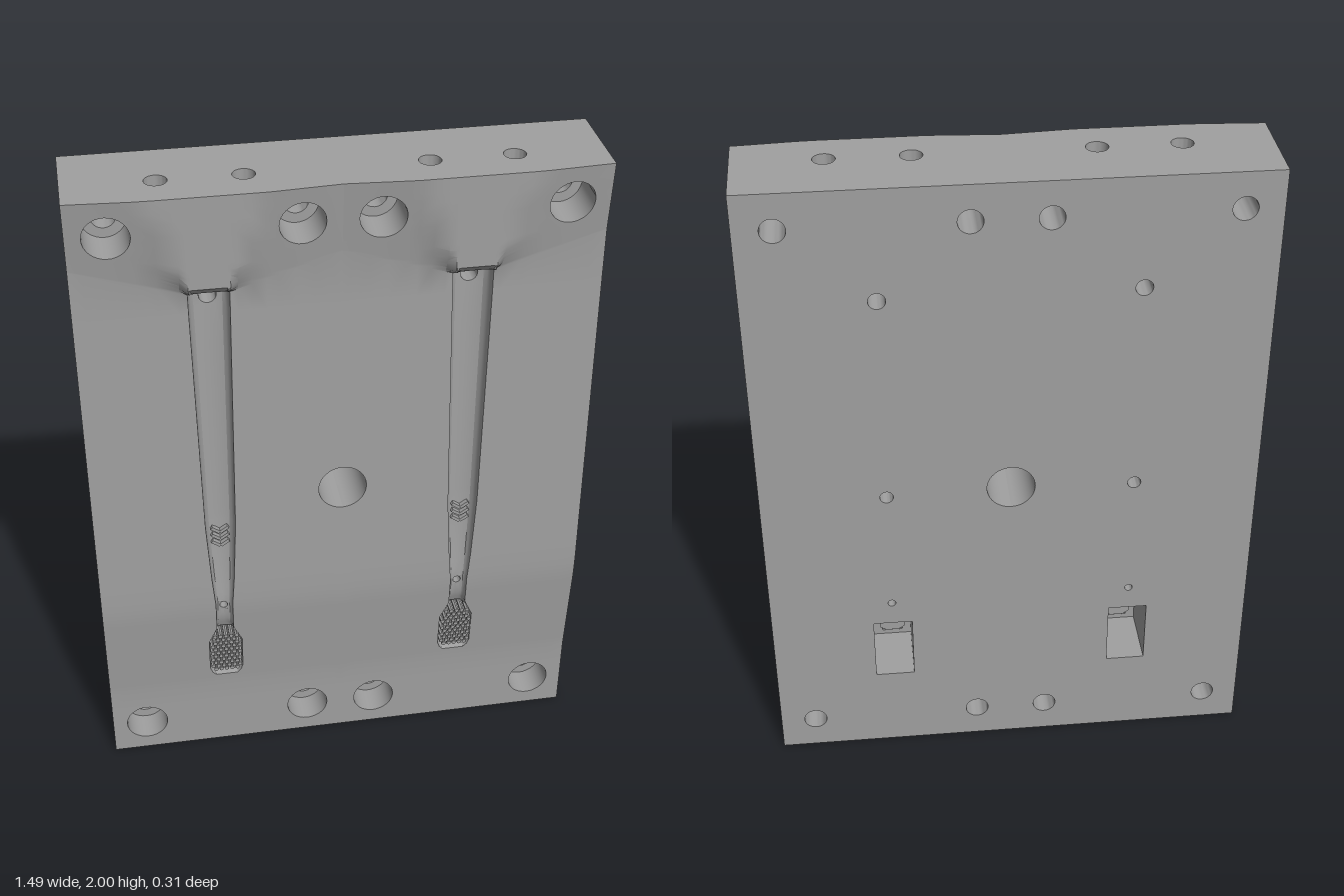
import * as THREE from 'three';
import { toCreasedNormals } from 'three/addons/utils/BufferGeometryUtils.js';

const BACK = -0.155, EDGE = 0.745, CX = 0.37;
const clamp = (t) => Math.min(1, Math.max(0, t));

// piecewise linear lookup
function interp(table, y) {
  if (y <= table[0][0]) return table[0][1];
  for (let k = 1; k < table.length; k++) {
    const [a, va] = table[k - 1], [b, vb] = table[k];
    if (y <= b) return va + (vb - va) * (y - a) / (b - a);
  }
  return table[table.length - 1][1];
}
const baseZ = [[0, 0.095], [0.25, 0.1], [0.58, 0.134], [0.65, 0.135], [1.7, 0.116]];
const cavityWidth = [[0.288, 0.034], [0.3, 0.045], [0.32, 0.052], [0.44, 0.052], [0.48, 0.034],
  [0.5, 0.026], [0.6, 0.026], [0.7, 0.034], [0.9, 0.045], [1.66, 0.058]];
const cavityDepth = [[0.288, 0], [0.292, 0.025], [0.3, 0.03], [0.44, 0.04], [0.48, 0.035], [0.52, 0.025],
  [0.6, 0.025], [0.7, 0.035], [0.9, 0.043], [1.66, 0.05], [1.69, 0.05], [1.7, 0]];

// lower border of the fan, rising away from the cavity
const fanStart = (x) => 0.1 * clamp((Math.abs(x - CX) - 0.055) / 0.32);

// parting surface without the cavity: bent plate with a fan rising towards the top edge
function partingZ(x, y) {
  const d = Math.abs(x - CX), z = interp(baseZ, y), start = 1.69 + fanStart(x);
  const dome = 0.015 * Math.sqrt(Math.max(0, 1 - (d / 0.055) ** 2));
  const height = Math.min(2 - start, 0.02 + dome + 2.3 * Math.max(0, d - 0.055));
  const top = 0.153 - 0.014 * clamp((d - 0.17) / 0.2);
  return z + (top - z) * clamp((y - start) / height);
}
function frontZ(x, y) {
  const u = (x - CX) / interp(cavityWidth, y);
  return partingZ(x, y) - interp(cavityDepth, y) * Math.sqrt(Math.max(0, 1 - u ** 4));
}

// grid lines; the middle columns follow the cavity and the upper rows follow the fan border
const rows = [0, 0.04, 0.11, 0.18, 0.25, 0.288, 0.292, 0.3, 0.32, 0.36, 0.4, 0.44, 0.46, 0.48, 0.5, 0.52,
  0.54, 0.56, 0.6, 0.62, 0.65, 0.7, 0.8, 0.9, 0.92, 1.08, 1.2, 1.35, 1.5, 1.63, 1.69, 1.7, 1.71, 1.725,
  1.74, 1.76, 1.78, 1.8, 1.82, 1.85, 1.89, 1.93, 1.96, 2];
const across = [-1, -0.95, -0.85, -0.7, -0.35, 0, 0.35, 0.7, 0.85, 0.95, 1];
const columns = (y) => [0, 0.04, 0.08, 0.13, 0.18, 0.21, 0.25, 0.29,
  ...across.map((f) => CX + f * interp(cavityWidth, y)),
  0.45, 0.51, 0.565, 0.6, 0.635, 0.67, 0.705, EDGE];
const rowShift = [[1.63, 0], [1.69, 1], [1.82, 0]];
const grid = rows.map((y) => columns(y).map((x) => new THREE.Vector2(x, y + fanStart(x) * interp(rowShift, y))));
const LAST = grid[0].length - 1;

function arc(x, y, r, a0 = 0, a1 = Math.PI * 2, n = 32) {
  return Array.from({ length: n + 1 }, (_, k) => {
    const a = a0 + (a1 - a0) * k / n;
    return new THREE.Vector2(x + r * Math.cos(a), y + r * Math.sin(a));
  });
}
const circle = (x, y, r) => arc(x, y, r).slice(0, -1);
const box = (x0, x1, y0, y1) => [[x0, y0], [x1, y0], [x1, y1], [x0, y1]].map((p) => new THREE.Vector2(...p));

// counter-clockwise outline of a block of grid cells
function outline([i0, i1, y0, y1]) {
  const j0 = rows.indexOf(y0), j1 = rows.indexOf(y1), pts = [];
  for (let i = i0; i < i1; i++) pts.push(grid[j0][i]);
  for (let j = j0; j < j1; j++) pts.push(grid[j][i1]);
  for (let i = i1; i > i0; i--) pts.push(grid[j1][i]);
  for (let j = j1; j > j0; j--) pts.push(grid[j][i0]);
  return pts;
}

function buildHalf() {
  const pos = [];
  const flat = (x, y, z) => [x, y, z];
  const upright = (x, y, z) => [x, z, -y];
  const asFn = (z) => (typeof z === 'function' ? z : () => z);

  // filled outline with holes at a given height
  function face(pts, holes, z, flip = false, map = flat) {
    const shape = new THREE.Shape(pts);
    shape.holes = holes.map((h) => new THREE.Path(h));
    const g = new THREE.ShapeGeometry(shape), p = g.attributes.position, id = g.index.array;
    for (let k = 0; k < id.length; k += 3) {
      const t = flip ? [id[k], id[k + 2], id[k + 1]] : [id[k], id[k + 1], id[k + 2]];
      for (const v of t) pos.push(...map(p.getX(v), p.getY(v), asFn(z)(p.getX(v), p.getY(v))));
    }
  }
  // wall along a path, facing its left side
  function wall(pts, zFront, zBack, closed = true, map = flat) {
    const f = asFn(zFront), b = asFn(zBack);
    for (let k = 0; k < pts.length - (closed ? 0 : 1); k++) {
      const p = pts[k], q = pts[(k + 1) % pts.length];
      const pf = map(p.x, p.y, f(p.x, p.y)), qf = map(q.x, q.y, f(q.x, q.y));
      const pb = map(p.x, p.y, b(p.x, p.y)), qb = map(q.x, q.y, b(q.x, q.y));
      pos.push(...pf, ...qf, ...qb, ...pf, ...qb, ...pb);
    }
  }

  const backHoles = [], skipped = [];
  // bolt holes with counterbores
  for (const [y, y0, y1] of [[0.11, 0.04, 0.18], [1.89, 1.82, 1.96]])
    for (const [x, i0, i1] of [[0.11, 1, 4], [0.635, 21, 25]]) {
      const cells = [i0, i1, y0, y1], wide = circle(x, y, 0.065), bore = circle(x, y, 0.036);
      face(outline(cells), [wide], frontZ);
      wall(wide, frontZ, 0);
      face(wide, [bore], 0);
      wall(bore, 0, BACK);
      backHoles.push(bore);
      skipped.push(cells);
    }
  // pin holes through the cavity floor
  for (const [y, r, y0, y1] of [[1.66, 0.025, 1.63, 1.69], [0.58, 0.012, 0.56, 0.6]]) {
    const cells = [11, 15, y0, y1], hole = circle(CX, y, r);
    face(outline(cells), [hole], frontZ);
    wall(hole, frontZ, BACK);
    backHoles.push(hole);
    skipped.push(cells);
  }
  // blind hole in the back
  const blind = circle(CX, 0.99, 0.02);
  wall(blind, 0.04, BACK);
  face(blind, [], 0.04, true);
  // insert pocket opening into the head of the cavity
  const opening = [11, 15, 0.3, 0.48], pocket = box(0.31, 0.43, 0.285, 0.5);
  wall(outline(opening), frontZ, 0.04);
  face(pocket, [outline(opening)], 0.04, true);
  wall(pocket, 0.04, BACK);
  backHoles.push(blind, pocket);
  skipped.push(opening);
  // half of the central bore
  const bore = arc(0, 1, 0.072, -Math.PI / 2, Math.PI / 2, 24), centre = [0, 2, 0.92, 1.08];
  face([...outline(centre), ...[...bore].reverse()], [], frontZ);
  wall(bore, frontZ, BACK, false);
  skipped.push(centre);

  // front surface
  for (let j = 0; j < rows.length - 1; j++)
    for (let i = 0; i < LAST; i++) {
      if (skipped.some(([a, b, y0, y1]) => i >= a && i < b && rows[j] >= y0 && rows[j] < y1)) continue;
      const [a, b, c, d] = [grid[j][i], grid[j][i + 1], grid[j + 1][i + 1], grid[j + 1][i]]
        .map((p) => [p.x, p.y, frontZ(p.x, p.y)]);
      pos.push(...a, ...b, ...c, ...a, ...c, ...d);
    }
  // back, outer side, top and bottom
  face([...box(0, EDGE, 0, 2), ...[...bore].reverse()], backHoles, BACK, true);
  wall(grid.map((row) => row[LAST]).reverse(), frontZ, BACK, false);
  const channels = [0.254, 0.49].map((x) => circle(x, -0.035, 0.032));
  for (const y of [0, 2]) {
    const rim = grid[y ? rows.length - 1 : 0].map((p) => new THREE.Vector2(p.x, -frontZ(p.x, y)));
    rim.push(new THREE.Vector2(EDGE, -BACK), new THREE.Vector2(0, -BACK));
    face(rim, channels, y, y === 0, upright);
  }
  // cooling channels
  channels.forEach((c) => wall(c, 2, 0, true, upright));
  return pos;
}

function toGeometry(pos, side) {
  const out = [];
  for (let k = 0; k < pos.length; k += 9)
    for (const v of side > 0 ? [0, 3, 6] : [0, 6, 3]) out.push(side * pos[k + v], pos[k + v + 1], pos[k + v + 2]);
  const g = new THREE.BufferGeometry();
  g.setAttribute('position', new THREE.Float32BufferAttribute(out, 3));
  return toCreasedNormals(g, 0.5);
}

export function createModel() {
  const model = new THREE.Group();
  const material = new THREE.MeshStandardMaterial({ color: 0xa0a0a0 });
  const add = (parent, name, geometry, x = 0, y = 0, z = 0) => {
    const mesh = new THREE.Mesh(geometry, material);
    mesh.name = name;
    mesh.position.set(x, y, z);
    parent.add(mesh);
    return mesh;
  };
  const half = buildHalf();
  const insertShape = new THREE.Shape([[-0.02, 0.309], [0.02, 0.309], [0.04, 0.322], [0.04, 0.44], [0.027, 0.472],
    [-0.027, 0.472], [-0.04, 0.44], [-0.04, 0.322]].map((p) => new THREE.Vector2(...p)));
  const insertGeometry = new THREE.ExtrudeGeometry(insertShape, { depth: 0.038, bevelEnabled: false });
  const barGeometry = new THREE.BoxGeometry(0.03, 0.01, 0.022);

  for (const side of [1, -1]) {
    const name = side > 0 ? 'left' : 'right';
    add(model, name + 'PlateHalf', toGeometry(half, side));
    // pin block in the head of the cavity
    const head = new THREE.Group();
    head.name = name + 'HeadInsert';
    model.add(head);
    add(head, 'insertBlock', insertGeometry, side * CX, 0, 0.03);
    for (let r = 0; r < 11; r++)
      for (let c = -3; c <= 2; c++) {
        const y = 0.32 + r * 0.0147, x = (c + (r % 2 ? 0.5 : 0)) * 0.017;
        if (Math.abs(x) > interp(cavityWidth, y) * 0.86) continue;
        const top = partingZ(CX, y) + 0.008, length = top - 0.06;
        const pin = new THREE.CylinderGeometry(0.007, 0.007, length, 6).rotateX(Math.PI / 2);
        add(head, 'pin', toCreasedNormals(pin, 0.5), side * CX + x, y, 0.06 + length / 2);
      }
    // grip chevrons on the cavity floor
    for (let k = 0; k < 3; k++)
      for (const s of [1, -1]) {
        const y = 0.812 + k * 0.024;
        add(model, 'gripChevron', barGeometry, side * CX + s * 0.013, y + 0.008, frontZ(CX, y) + 0.004)
          .rotation.z = s * 0.6;
      }
  }
  return model;
}
